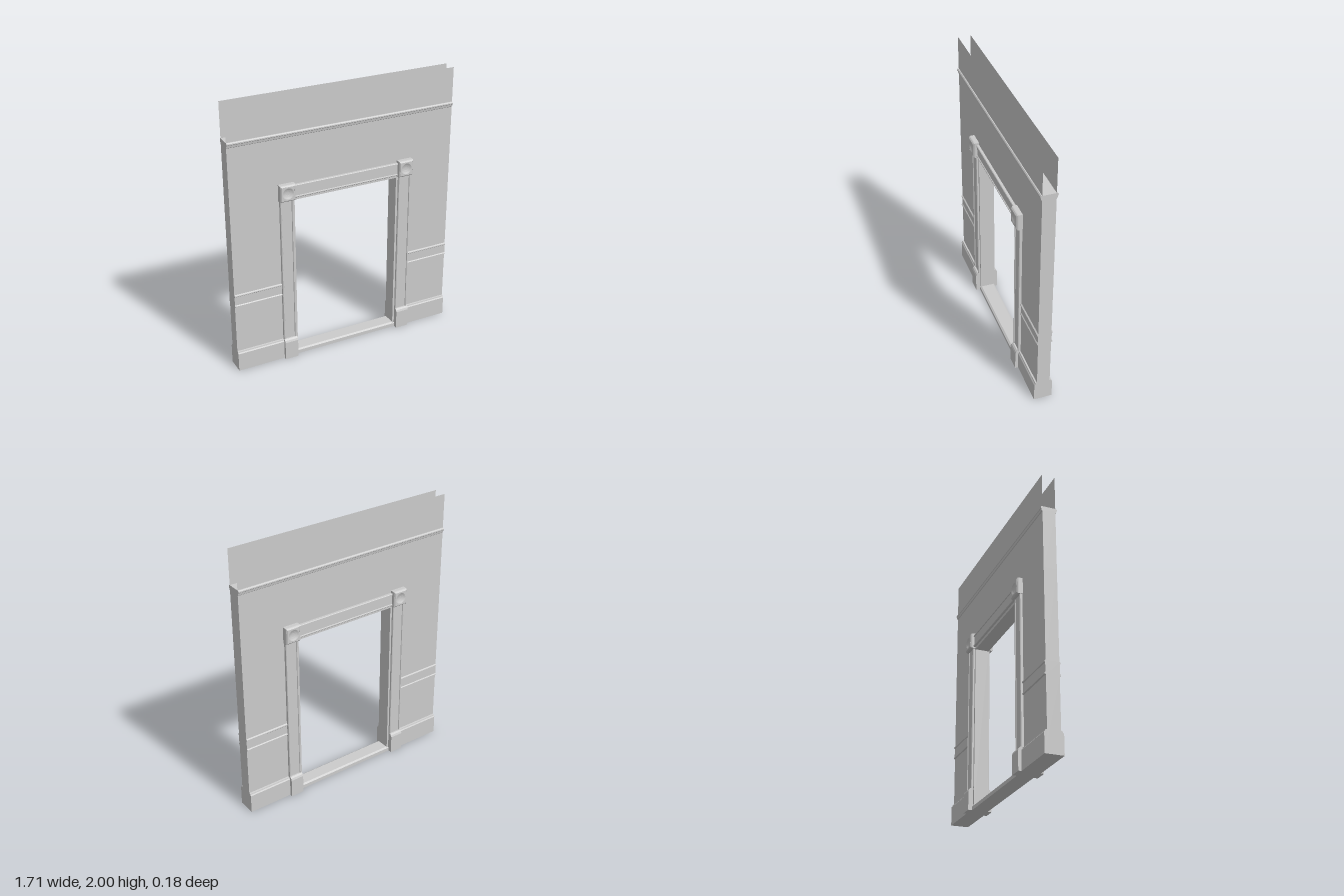
import * as THREE from 'three';

const material = new THREE.MeshStandardMaterial({ color: 0xcccccc, flatShading: true });
const thin = new THREE.MeshStandardMaterial({ color: 0xcccccc, flatShading: true, side: THREE.DoubleSide });

const HALF_W = 0.855;  // half width of the wall
const WALL_Z = 0.047;  // half thickness of the wall
const DOOR_X = 0.012;  // the doorway sits slightly off centre
const OPEN_W = 0.397;  // half width of the opening
const OPEN_H = 1.247;
const CASE_X = 0.461;  // casing centre, measured from the doorway centre

// Closed shape from one half profile of [z, y] points, mirrored to -z
function mirroredShape(points) {
  const back = points.slice().reverse().map(([z, y]) => [-z, y]);
  return new THREE.Shape([...points, ...back].map(([z, y]) => new THREE.Vector2(z, y)));
}

// Sweep a mirrored [z, y] profile along x
function alongX(points, x0, x1) {
  const g = new THREE.ExtrudeGeometry(mirroredShape(points), { depth: x1 - x0, bevelEnabled: false });
  return g.rotateY(Math.PI / 2).translate(x0, 0, 0);
}

// Casing section with a raised bead on each edge, standing up along y
function casingGeometry(width, length) {
  const w = width / 2;
  const half = [[w, 0.064], [w - 0.004, 0.068], [w - 0.01, 0.068], [w - 0.013, 0.062],
    [-w + 0.013, 0.062], [-w + 0.01, 0.068], [-w + 0.004, 0.068], [-w, 0.064]];
  const pts = [...half, ...half.slice().reverse().map(([u, v]) => [u, -v])];
  const shape = new THREE.Shape(pts.map(([u, v]) => new THREE.Vector2(u, v)));
  return new THREE.ExtrudeGeometry(shape, { depth: length, bevelEnabled: false }).rotateX(-Math.PI / 2);
}

export function createModel() {
  const model = new THREE.Group();
  model.name = 'doorwayWall';
  const add = (name, geometry, x = 0, y = 0, z = 0, parent = model, mat = material) => {
    const mesh = new THREE.Mesh(geometry, mat);
    mesh.name = name;
    mesh.position.set(x, y, z);
    parent.add(mesh);
    return mesh;
  };

  // Wall beside the door: baseboard, two-bead chair rail, plain wall
  const sideProfile = [[0.066, 0], [0.066, 0.138], [0.06, 0.146], [0.058, 0.154], [WALL_Z, 0.156],
    [WALL_Z, 0.516], [0.056, 0.521], [0.056, 0.528], [0.05, 0.534], [0.05, 0.598],
    [0.056, 0.603], [0.056, 0.61], [WALL_Z, 0.616], [WALL_Z, 1.28]];
  add('rightWall', alongX(sideProfile, -HALF_W, DOOR_X - CASE_X));
  add('leftWall', alongX(sideProfile, DOOR_X + CASE_X, HALF_W));

  // Wall over the door with the picture rail
  const upperProfile = [[WALL_Z, 1.28], [WALL_Z, 1.708], [0.052, 1.712], [0.055, 1.728],
    [0.059, 1.732], [0.059, 1.74], [0.053, 1.747]];
  add('upperWall', alongX(upperProfile, -HALF_W, HALF_W));

  // Thin frieze sheets on both faces
  for (const s of [1, -1]) {
    add(s > 0 ? 'frontFrieze' : 'backFrieze', new THREE.PlaneGeometry(2 * HALF_W, 0.255),
      0, 1.8725, s * WALL_Z, model, thin);
  }

  // Door frame, shared by both faces
  const frame = new THREE.Group();
  frame.name = 'doorFrame';
  frame.position.x = DOOR_X;
  model.add(frame);

  add('threshold', alongX([[0.058, 0], [0.058, 0.026], [0.046, 0.035]], -0.42, 0.42), 0, 0, 0, frame);
  add('headJamb', new THREE.BoxGeometry(0.9, 0.035, 0.104), 0, OPEN_H + 0.0175, 0, frame);

  const header = add('headerCasing', casingGeometry(0.095, 2 * CASE_X), -CASE_X, 1.3155, 0, frame);
  header.rotation.z = -Math.PI / 2;

  // Corner block: chamfered square with a dished round face
  const square = new THREE.Shape([[-1, -1], [1, -1], [1, 1], [-1, 1]]
    .map(([x, y]) => new THREE.Vector2(x * 0.047, y * 0.05)));
  square.holes.push(new THREE.Path().absarc(0, 0, 0.041, 0, Math.PI * 2, true));
  const faceGeometry = new THREE.ShapeGeometry(square, 12);
  const dishGeometry = new THREE.LatheGeometry(
    [[0, -0.011], [0.014, -0.01], [0.028, -0.006], [0.041, 0]].map(([r, y]) => new THREE.Vector2(r, y)), 24)
    .rotateX(Math.PI / 2);
  // Four chamfered sides, as an open square tube
  const sideGeometry = new THREE.LatheGeometry(
    [[1, 0], [1, 0.076], [0.965, 0.083], [0.83, 0.091]]
      .map(([r, y]) => new THREE.Vector2(r * Math.SQRT2, y)), 4, Math.PI / 4)
    .rotateX(Math.PI / 2).scale(0.057, 0.0605, 1);

  for (const s of [1, -1]) {
    const side = s > 0 ? 'left' : 'right';
    add(side + 'Jamb', new THREE.BoxGeometry(0.06, OPEN_H + 0.02, 0.104),
      s * (OPEN_W + 0.03), (OPEN_H + 0.02) / 2, 0, frame);
    add(side + 'Casing', casingGeometry(0.098, 1.14), s * CASE_X, 0.14, 0, frame);
    add(side + 'Plinth', alongX([[0.088, 0], [0.088, 0.138], [0.082, 0.152], [0.072, 0.162]], -0.05, 0.05),
      s * CASE_X, 0, 0, frame);

    for (const f of [1, -1]) {
      const block = new THREE.Group();
      block.name = side + (f > 0 ? 'Front' : 'Back') + 'CornerBlock';
      block.position.set(s * 0.459, 1.3195, 0);
      block.rotation.y = f > 0 ? 0 : Math.PI;
      frame.add(block);
      add('blockSides', sideGeometry, 0, 0, 0, block, thin);
      add('blockFace', faceGeometry, 0, 0, 0.091, block, thin);
      add('blockDish', dishGeometry, 0, 0, 0.091, block, thin);
    }
  }
  return model;
}
